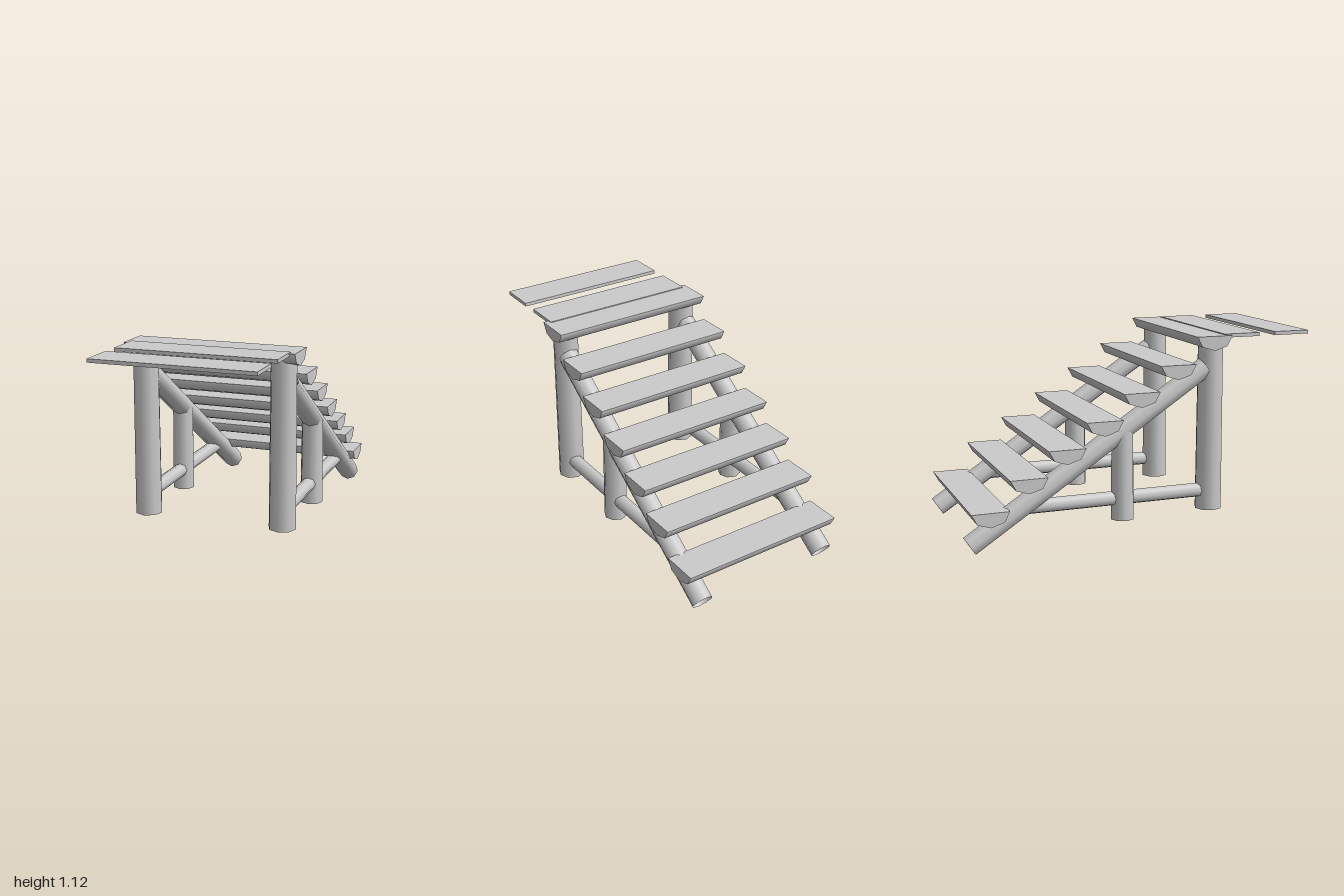
import * as THREE from 'three';
import { mergeGeometries } from 'three/addons/utils/BufferGeometryUtils.js';

const material = new THREE.MeshStandardMaterial({ color: 0xcccccc, side: THREE.DoubleSide });

export function createModel() {
  const model = new THREE.Group();
  model.name = 'logStairs';

  const add = (name, geometry, x, y, z) => {
    const mesh = new THREE.Mesh(geometry, material);
    mesh.name = name;
    mesh.position.set(x, y, z);
    model.add(mesh);
    return mesh;
  };

  // Hollow eight-sided log between two points
  const log = (name, from, to, r0, r1 = r0) => {
    const a = new THREE.Vector3(...from), b = new THREE.Vector3(...to);
    const axis = b.clone().sub(a);
    const mid = a.clone().add(b).multiplyScalar(0.5);
    const mesh = add(name, new THREE.CylinderGeometry(r1, r0, axis.length(), 8, 1, true), mid.x, mid.y, mid.z);
    mesh.quaternion.setFromUnitVectors(new THREE.Vector3(0, 1, 0), axis.normalize());
  };

  // Supports, mirrored left and right
  for (const [side, s] of [['left', 1], ['right', -1]]) {
    log(side + 'FrontPost', [s * 0.397, 0.13, 0.42], [s * 0.397, 1.08, 0.42], 0.078, 0.073);
    log(side + 'MiddlePost', [s * 0.405, 0.12, -0.103], [s * 0.405, 0.62, -0.103], 0.067, 0.063);
    log(side + 'Stringer', [s * 0.405, 0.055, -0.965], [s * 0.405, 0.935, 0.38], 0.06);
    log(side + 'Brace', [s * 0.403, 0.238, 0.39], [s * 0.403, 0.238, -0.69], 0.04);
  }

  // Half-log treads: flat on top, shallow rounded underside
  const underside = new THREE.CylinderGeometry(0.104, 0.104, 0.97, 4, 1, false, Math.PI, Math.PI);
  underside.rotateZ(Math.PI / 2).scale(1, 0.77, 1);
  const flatTop = new THREE.PlaneGeometry(0.97, 0.208).rotateX(-Math.PI / 2);
  const tread = mergeGeometries([underside, flatTop]);
  [1.115, 0.967, 0.828, 0.687, 0.55, 0.41, 0.247].forEach((y, i) => {
    add('tread' + (i + 1), tread, 0, y, 0.407 - i * 0.212);
  });

  // Thin deck boards, open underneath
  for (const [name, z, depth] of [['innerDeckBoard', 0.587, 0.214], ['outerDeckBoard', 0.895, 0.21]]) {
    const board = new THREE.BoxGeometry(0.906, 0.02, depth);
    const index = Array.from(board.index.array);
    index.splice(18, 6);
    board.setIndex(index);
    board.clearGroups();
    add(name, board, 0, 1.11, z);
  }

  return model;
}
